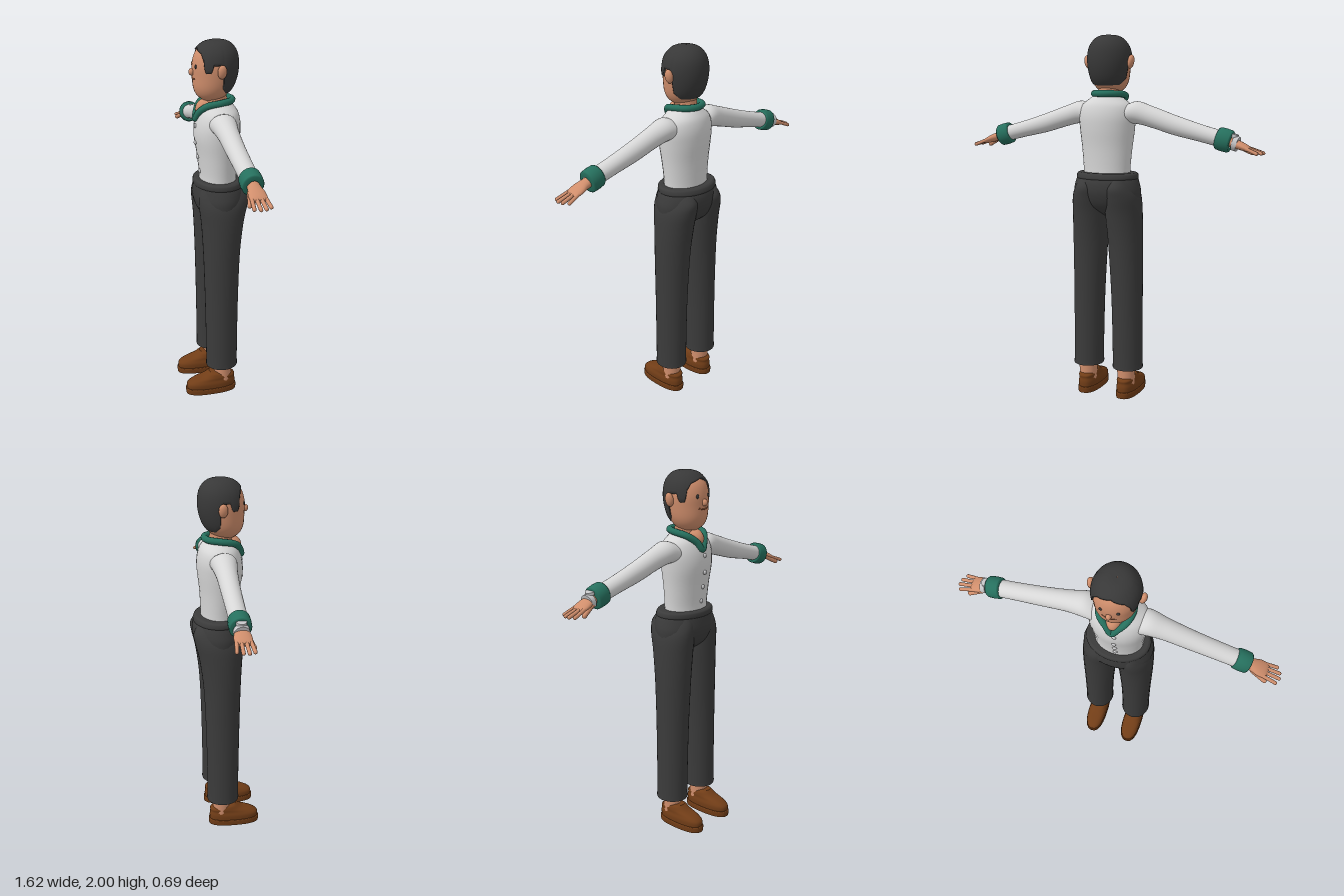
import * as THREE from 'three';

const mat = (name, color, side = THREE.FrontSide) => {
  const m = new THREE.MeshStandardMaterial({ color, side });
  m.name = name;
  return m;
};
const V = (x, y, z) => new THREE.Vector3(x, y, z);

// Smooth interpolation between neighbouring cross-sections
function sample(st, t) {
  const n = st.length - 1, i = Math.min(Math.floor(t), n - 1), f = t - i;
  const get = (k, c) => st[Math.max(0, Math.min(n, k))][c] ?? 0;
  return [0, 1, 2, 3, 4].map((c) => {
    const p0 = get(i - 1, c), p1 = get(i, c), p2 = get(i + 1, c), p3 = get(i + 2, c);
    return p1 + 0.5 * f * (p2 - p0 + f * (2 * p0 - 5 * p1 + 4 * p2 - p3 + f * (3 * (p1 - p2) + p3 - p0)));
  });
}

// Builds a skin from rows of points, with optional flat end caps
function skin(rows, caps) {
  const pos = [], idx = [], n = rows[0].length;
  rows.forEach((r) => r.forEach((p) => pos.push(...p)));
  for (let i = 0; i < rows.length - 1; i++) {
    for (let j = 0; j < n; j++) {
      const k = (j + 1) % n, a = i * n + j, b = i * n + k;
      idx.push(a, b, b + n, a, b + n, a + n);
    }
  }
  if (caps) {
    [rows[0], rows[rows.length - 1]].forEach((row, top) => {
      const s = pos.length / 3;
      row.forEach((p) => pos.push(...p));
      pos.push(...[0, 1, 2].map((c) => row.reduce((t, p) => t + p[c], 0) / n));
      for (let j = 0; j < n; j++) {
        const k = (j + 1) % n;
        if (top) idx.push(s + n, s + j, s + k);
        else idx.push(s + n, s + k, s + j);
      }
    });
  }
  const g = new THREE.BufferGeometry();
  g.setAttribute('position', new THREE.Float32BufferAttribute(pos, 3));
  g.setIndex(idx);
  g.computeVertexNormals();
  return g;
}

// Sections: [height, half width x, half depth z, centre z, centre x]
function loft(st, power = 1, seg = 32, sub = 5) {
  const sp = (v) => Math.sign(v) * Math.abs(v) ** power;
  const rows = [];
  for (let i = 0; i <= (st.length - 1) * sub; i++) {
    const [y, a, b, cz, cx] = sample(st, i / sub);
    rows.push(Array.from({ length: seg }, (_, j) => {
      const u = (j / seg) * Math.PI * 2;
      return [cx + a * sp(Math.sin(u)), y, cz + b * sp(Math.cos(u))];
    }));
  }
  return skin(rows, true);
}

const HEAD = [[1.695, 0.045, 0.05, 0.025], [1.72, 0.078, 0.08, 0.025], [1.76, 0.1, 0.104, 0.018],
  [1.82, 0.111, 0.116, 0.01], [1.88, 0.114, 0.119, 0.008], [1.935, 0.101, 0.107, 0.005],
  [1.975, 0.07, 0.076, 0.002], [1.992, 0.035, 0.04, 0], [1.995, 0.001, 0.001, 0]];

// Hair cap hugging the head; the hairline height depends on the angle from the front
function hairGeometry() {
  const line = [[0, 1.957], [38, 1.937], [50, 1.9], [54, 1.845], [70, 1.845], [74, 1.885],
    [96, 1.885], [104, 1.765], [125, 1.735], [180, 1.73]];
  const n = 96, steps = 18, rows = Array.from({ length: steps + 1 }, () => []);
  for (let j = 0; j < n; j++) {
    const u = (j / n) * Math.PI * 2, d = Math.min(j, n - j) / n * 360;
    const k = Math.max(1, line.findIndex((p) => p[0] >= d)), [d0, y0] = line[k - 1], [d1, y1] = line[k];
    const low = y0 + (y1 - y0) * (d - d0) / (d1 - d0);
    const h = HEAD.findIndex((s) => s[0] > low);
    const t0 = h - 1 + (low - HEAD[h - 1][0]) / (HEAD[h][0] - HEAD[h - 1][0]);
    rows.forEach((row, i) => {
      const [y, a, b, cz] = sample(HEAD, t0 + (HEAD.length - 1 - t0) * Math.max(0, i - 1) / (steps - 1));
      const off = i === 0 ? -0.004 : 0.007 * Math.min(1, a / 0.02);
      row.push([(a + off) * Math.sin(u), y + (i ? 0.005 : 0), cz + (b + off) * Math.cos(u)]);
    });
  }
  return skin(rows, false);
}

export function createModel() {
  const skinM = mat('skin', 0xd08e6c), shirtM = mat('shirt white', 0xd6d6d6), trouserM = mat('trouser charcoal', 0x3b3b3b);
  const hairM = mat('hair black', 0x383838, THREE.DoubleSide), greenM = mat('trim green', 0x26705e);
  const shoeM = mat('shoe brown', 0x713d17), lipM = mat('lip brown', 0xa2603f), metalM = mat('light metal', 0xc6c6c8);

  const model = new THREE.Group(), figure = new THREE.Group();
  model.name = 'standingPerson';
  figure.name = 'figure';
  figure.rotation.y = -0.367;
  model.add(figure);
  const add = (name, geo, m, p = [0, 0, 0]) => {
    const mesh = new THREE.Mesh(geo, m);
    mesh.name = name;
    mesh.position.set(...p);
    figure.add(mesh);
    return mesh;
  };
  const ball = (name, m, p, r) => {
    const b = add(name, new THREE.SphereGeometry(1, 24, 16), m, p);
    b.scale.set(...r);
    return b;
  };
  const UP = V(0, 1, 0);
  // Rounded rod between two points
  const rod = (name, m, a, b, r) => {
    const d = b.clone().sub(a);
    const c = add(name, new THREE.CapsuleGeometry(r, d.length(), 6, 12), m, a.clone().add(b).multiplyScalar(0.5).toArray());
    c.quaternion.setFromUnitVectors(UP, d.normalize());
    return c;
  };

  // Head, hair and face
  add('head', loft(HEAD), skinM);
  add('hair', hairGeometry(), hairM);
  add('neck', loft([[1.58, 0.058, 0.058, 0], [1.66, 0.06, 0.06, 0.002], [1.75, 0.058, 0.06, 0.008]]), skinM);
  ball('openNeckline', skinM, [0.005, 1.645, 0.05], [0.045, 0.058, 0.064]);
  ball('nose', skinM, [0, 1.842, 0.13], [0.014, 0.019, 0.017]);
  add('mouth', new THREE.TubeGeometry(new THREE.CatmullRomCurve3(
    [V(-0.036, 1.814, 0.117), V(0, 1.807, 0.125), V(0.036, 1.814, 0.117)]), 12, 0.0045, 8), lipM);

  // Shirt with collar and buttons
  add('shirt', loft([[1.24, 0.132, 0.1, -0.005], [1.3, 0.134, 0.1, -0.005], [1.4, 0.143, 0.108, -0.002],
    [1.5, 0.155, 0.121, 0], [1.57, 0.158, 0.12, -0.003], [1.625, 0.142, 0.106, -0.006],
    [1.66, 0.1, 0.085, -0.006], [1.685, 0.062, 0.062, -0.006]]), shirtM, [0.01, 0, 0]);
  add('collar', new THREE.TubeGeometry(new THREE.CatmullRomCurve3([V(0.005, 1.595, 0.113), V(0.035, 1.635, 0.1),
    V(0.07, 1.672, 0.065), V(0.083, 1.686, 0), V(0.055, 1.69, -0.062), V(0, 1.69, -0.083), V(-0.055, 1.69, -0.062),
    V(-0.083, 1.686, 0), V(-0.07, 1.672, 0.065), V(-0.025, 1.635, 0.1)], true), 80, 0.018, 10, true), greenM);
  [[1.56, 0.117], [1.47, 0.119], [1.39, 0.107], [1.31, 0.096]].forEach(([y, z]) =>
    ball('button', metalM, [0.02, y, z], [0.012, 0.012, 0.008]));

  // Trouser top and waistband
  add('trouserTop', loft([[1.03, 0.05, 0.04, -0.005], [1.08, 0.17, 0.105, -0.008], [1.15, 0.192, 0.137, -0.01],
    [1.21, 0.182, 0.139, -0.012], [1.255, 0.165, 0.128, -0.008]]), trouserM, [0.005, 0, 0]);
  add('waistband', loft([[1.228, 0.168, 0.13, -0.01], [1.238, 0.176, 0.137, -0.01], [1.258, 0.173, 0.133, -0.008],
    [1.266, 0.162, 0.123, -0.008]]), trouserM, [0.005, 0, 0]);

  for (const s of [1, -1]) {
    const side = s > 0 ? 'left' : 'right';
    // Legs and shoes
    add(side + 'TrouserLeg', loft([[0.178, 0.086, 0.091, 0, s * 0.12], [0.2, 0.083, 0.088, 0, s * 0.12],
      [0.55, 0.086, 0.092, 0, s * 0.115], [0.85, 0.095, 0.101, -0.002, s * 0.107], [1.03, 0.1, 0.116, -0.008, s * 0.099],
      [1.13, 0.097, 0.132, -0.014, s * 0.094], [1.19, 0.08, 0.135, -0.018, s * 0.088], [1.24, 0.06, 0.11, -0.01, s * 0.085]]),
    trouserM, [0.005, 0, 0]);
    const foot = [s * 0.118 + 0.01, 0, 0];
    add(side + 'Ankle', new THREE.CylinderGeometry(0.052, 0.05, 0.16, 24), skinM, [foot[0], 0.14, -0.005]);
    add(side + 'Sole', loft([[0, 0.058, 0.145, 0.065], [0.028, 0.06, 0.147, 0.065], [0.034, 0.056, 0.143, 0.065]], 0.8), shoeM, foot);
    add(side + 'Shoe', loft([[0.028, 0.055, 0.14, 0.065], [0.06, 0.057, 0.14, 0.064], [0.082, 0.052, 0.122, 0.05],
      [0.1, 0.051, 0.093, 0.022], [0.118, 0.045, 0.06, 0.025], [0.126, 0.03, 0.035, 0.04]], 0.8), shoeM, foot);

    // Ears and eyes
    ball(side + 'Ear', skinM, [s * 0.126, 1.858, 0], [0.018, 0.037, 0.024]).rotation.z = -s * 0.2;
    ball(side + 'Eye', hairM, [s * 0.042, 1.875, 0.118], [0.009, 0.011, 0.006]);

    // Arms: sections run outward as [x, half height, half depth, z, y]
    const limb = (name, st, m) => {
      add(name, loft(st.map(([x, a, b, z, y]) => [x, a, b, z, -s * y])), m).rotation.z = -s * Math.PI / 2;
    };
    limb(side + 'Sleeve', [[0.08, 0.045, 0.07, 0, 1.57], [0.16, 0.06, 0.068, 0, 1.59], [0.25, 0.057, 0.056, 0, 1.568],
      [0.38, 0.053, 0.05, 0, 1.527], [0.52, 0.046, 0.047, 0, 1.49], [0.63, 0.044, 0.046, 0, 1.462]], shirtM);
    const cuff = add(side + 'Cuff', new THREE.LatheGeometry([[0.03, -0.038], [0.054, -0.038], [0.06, -0.031], [0.062, 0],
      [0.06, 0.031], [0.054, 0.038], [0.03, 0.038]].map((p) => new THREE.Vector2(...p)), 32), greenM, [s * 0.65, 1.457, 0]);
    cuff.rotation.z = -s * (Math.PI / 2 + 0.27);
    cuff.scale.set(0.98, 1, 0.9);
    limb(side + 'Hand', [[0.64, 0.027, 0.031, 0, 1.457], [0.7, 0.025, 0.033, 0, 1.442], [0.74, 0.022, 0.043, 0, 1.429],
      [0.775, 0.016, 0.042, 0, 1.416], [0.79, 0.008, 0.034, 0, 1.41]], skinM);
    for (let i = 0; i < 4; i++) {
      const z = 0.033 - i * 0.022, reach = [0.84, 0.852, 0.848, 0.83][i];
      rod(side + 'Finger', skinM, V(s * 0.77, 1.418, z), V(s * reach, 1.394, z * 1.25), 0.0095);
    }
    rod(side + 'Thumb', skinM, V(s * 0.712, 1.428, 0.026), V(s * 0.785, 1.392, 0.046), 0.012);
  }

  // Wristwatch on the right wrist
  const band = add('watchBand', new THREE.CylinderGeometry(0.039, 0.039, 0.026, 28), metalM, [-0.71, 1.44, 0]);
  band.rotation.z = Math.PI / 2 + 0.27;
  const face = add('watchFace', new THREE.CylinderGeometry(0.024, 0.026, 0.016, 24), metalM, [-0.7, 1.482, 0]);
  face.rotation.z = 0.27;
  return model;
}
